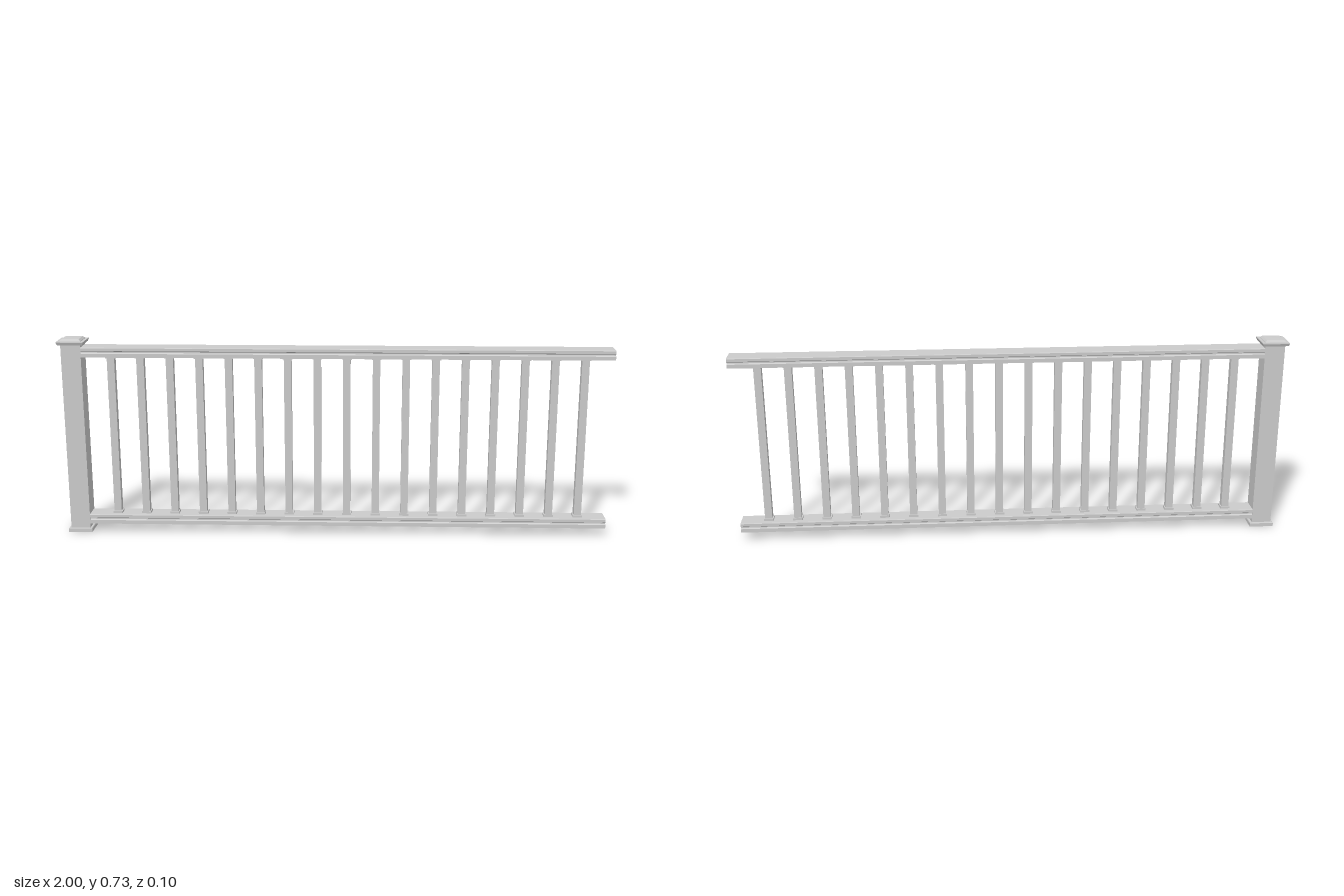
import * as THREE from 'three';

const material = new THREE.MeshStandardMaterial({ color: 0xcccccc, flatShading: true, side: THREE.DoubleSide });

function add(parent, name, geometry, x = 0, y = 0, z = 0) {
  const mesh = new THREE.Mesh(geometry, material);
  mesh.name = name;
  mesh.position.set(x, y, z);
  parent.add(mesh);
  return mesh;
}

// Square solid from a profile of [half width, height] pairs
function squareLathe(profile) {
  const points = profile.map(([half, y]) => new THREE.Vector2(half * Math.SQRT2, y));
  return new THREE.LatheGeometry(points, 4).rotateY(Math.PI / 4);
}

// Half outline of a rail, bottom to top, with a groove along the side
function railOutline(inset) {
  const half = [[0.036, 0], [0.036, 0.014], [0.031, 0.017], [0.031, 0.021], [0.036, 0.024], [0.036, 0.034], [0.034, 0.036]]
    .map(([z, y]) => [z - inset, THREE.MathUtils.clamp(y, inset, 0.036 - inset)]);
  const mirrored = half.map(([z, y]) => [-z, y]).reverse();
  return [...half, ...mirrored].map(([z, y]) => new THREE.Vector2(z, y));
}

// Hollow rail, open at its end, running along x
function railGeometry(length) {
  const shape = new THREE.Shape(railOutline(0));
  shape.holes.push(new THREE.Path(railOutline(0.0025)));
  return new THREE.ExtrudeGeometry(shape, { depth: length, bevelEnabled: false }).rotateY(Math.PI / 2);
}

export function createModel() {
  const model = new THREE.Group();
  model.name = 'railingSection';

  // End post with base trim and stepped cap
  const post = new THREE.Group();
  post.name = 'post';
  post.position.x = -0.951;
  model.add(post);
  add(post, 'postShaft', new THREE.BoxGeometry(0.072, 0.71, 0.072), 0, 0.357, 0);
  add(post, 'postBase', squareLathe([[0, 0], [0.044, 0], [0.044, 0.013], [0.042, 0.015], [0, 0.015]]));
  add(post, 'postCap', squareLathe([
    [0, 0.709], [0.045, 0.709], [0.049, 0.718], [0.049, 0.721],
    [0.039, 0.721], [0.038, 0.723], [0.031, 0.729], [0, 0.73],
  ]));

  // Top and bottom rails
  const rail = railGeometry(1.915);
  add(model, 'bottomRail', rail, -0.915, 0.031, 0);
  add(model, 'topRail', rail, -0.915, 0.663, 0);

  // Balusters with a collar at each end
  const bar = new THREE.BoxGeometry(0.027, 0.59, 0.027);
  const collar = new THREE.BoxGeometry(0.035, 0.012, 0.035);
  for (let i = 0; i < 17; i++) {
    const baluster = new THREE.Group();
    baluster.name = 'baluster';
    baluster.position.x = -0.813 + i * 0.107;
    add(baluster, 'balusterBar', bar, 0, 0.366, 0);
    add(baluster, 'bottomCollar', collar, 0, 0.069, 0);
    add(baluster, 'topCollar', collar, 0, 0.663, 0);
    model.add(baluster);
  }
  return model;
}
